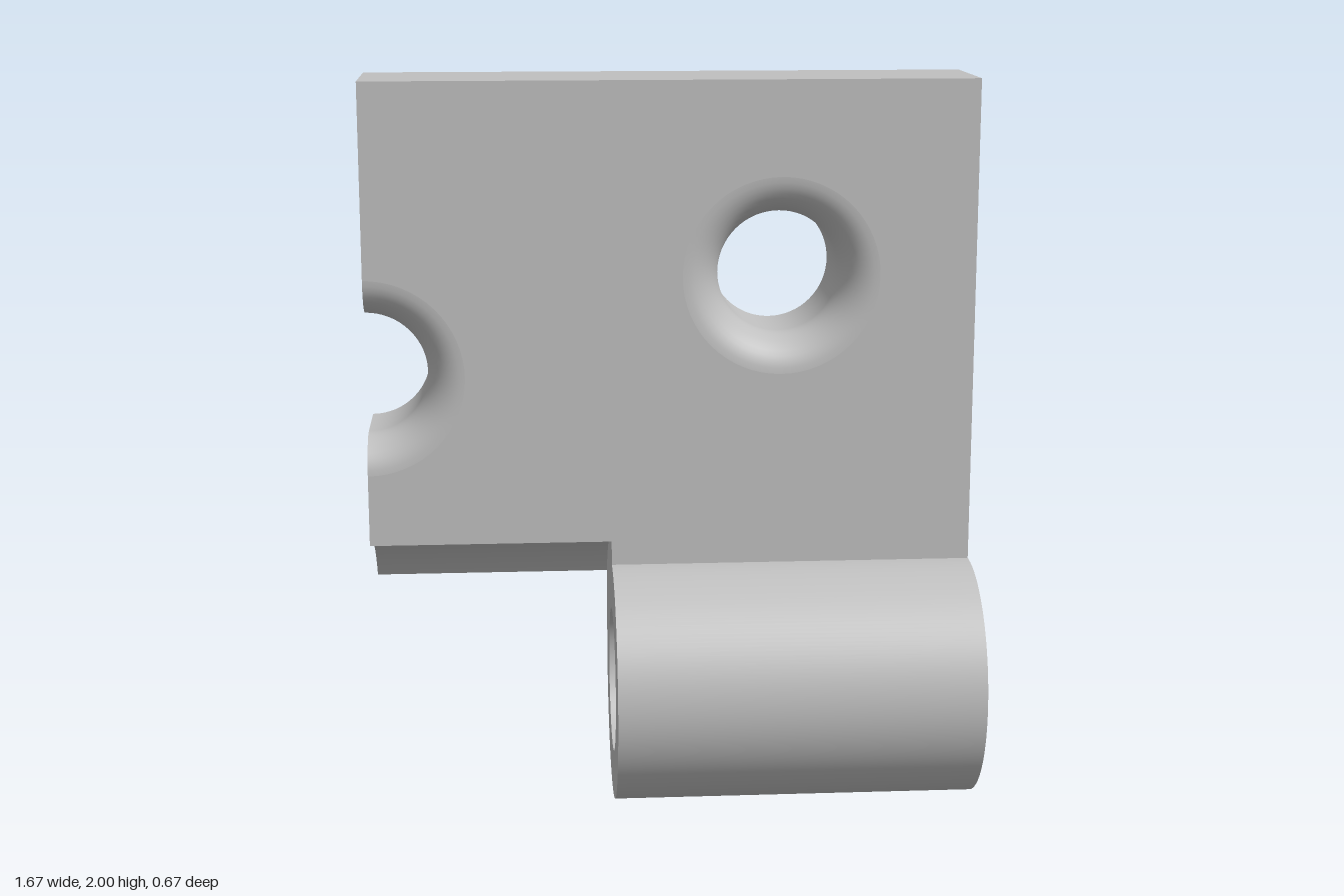
import * as THREE from 'three';

const H = 0.833, T = 0.333, C = -0.167;        // half width, plate thickness, knuckle start
const TOP = 2, AXIS = 0.333, BORE = 0.2, CLEAR = 0.4;
const HOLE = 0.167, FLARE = 0.27, DEPTH = 0.11; // screw hole, flared mouth and its depth
const NOTCH_Y = 1.2, HOLE_X = 0.3, HOLE_Y = 1.47;
const CLEAR_A = Math.acos(-T / CLEAR);
const CLEAR_BACK = AXIS + CLEAR * Math.sin(CLEAR_A);
const PI = Math.PI;

// Reverse the facing of a flat geometry
function flip(geo) {
  geo.index.array.reverse();
  geo.computeVertexNormals();
  return geo;
}

// Surface swept along x from a (z, y) outline
function sweepX(points, x0, x1) {
  const pos = [], idx = [];
  points.forEach((p, i) => {
    pos.push(x0, p.y, p.x, x1, p.y, p.x);
    if (i) {
      const a = 2 * i - 2;
      idx.push(a, a + 1, a + 2, a + 1, a + 3, a + 2);
    }
  });
  const geo = new THREE.BufferGeometry();
  geo.setAttribute('position', new THREE.Float32BufferAttribute(pos, 3));
  geo.setIndex(idx);
  geo.computeVertexNormals();
  return geo;
}

// Points of an arc around the pin axis, in (z, y)
const arc = (r, a0, a1, clockwise) =>
  new THREE.Path().absarc(0, AXIS, r, a0, a1, clockwise).getPoints(64);

// Flat end face lying across x
function sideFace(shape, x, facesLeft) {
  const geo = new THREE.ShapeGeometry(shape, 32).rotateY(-PI / 2).translate(x, 0, 0);
  return facesLeft ? flip(geo) : geo;
}

// Broad plate face with a round hole and an edge notch
function broadFace(r, outerY, knuckleY) {
  const s = new THREE.Shape();
  s.moveTo(-H, outerY);
  s.lineTo(C, outerY);
  s.lineTo(C, knuckleY);
  s.lineTo(H, knuckleY);
  s.lineTo(H, TOP);
  s.lineTo(-H, TOP);
  s.lineTo(-H, NOTCH_Y + r);
  s.absarc(-H, NOTCH_Y, r, PI / 2, -PI / 2, true);
  s.holes.push(new THREE.Path().absarc(HOLE_X, HOLE_Y, r, 0, 2 * PI));
  return new THREE.ShapeGeometry(s, 32);
}

export function createModel() {
  const group = new THREE.Group();
  const grey = new THREE.MeshStandardMaterial({ color: 0xbfbfbf, side: THREE.DoubleSide });
  grey.name = 'grey';
  const add = (name, geo) => {
    const mesh = new THREE.Mesh(geo, grey);
    mesh.name = name;
    group.add(mesh);
  };
  const v = (x, y) => new THREE.Vector2(x, y);

  // Plate faces
  add('plateFront', broadFace(FLARE, AXIS + CLEAR, AXIS + T));
  add('plateBack', flip(broadFace(HOLE, CLEAR_BACK, AXIS)).translate(0, 0, -T));
  add('plateTop', sweepX([v(0, TOP), v(-T, TOP)], -H, H));

  // Screw hole walls, rounded at the front mouth: (radius, z)
  const profile = [];
  for (let i = 0; i <= 10; i++) {
    const a = (i / 10) * PI / 2;
    profile.push(v(FLARE - (FLARE - HOLE) * Math.sin(a), DEPTH * (Math.cos(a) - 1)));
  }
  profile.push(v(HOLE, -T));
  const holeWall = (segments, length, x, y) =>
    new THREE.LatheGeometry(profile, segments, 0, length).rotateX(PI / 2).translate(x, y, 0);
  add('screwHole', holeWall(64, 2 * PI, HOLE_X, HOLE_Y));
  add('edgeNotch', holeWall(32, PI, -H, NOTCH_Y));

  // Plate edge above and below the notch
  const mouth = (sign) => profile.map((p) => v(p.y, NOTCH_Y + sign * p.x));
  add('upperEdge', sideFace(new THREE.Shape([v(-T, TOP), v(0, TOP), ...mouth(1)]), -H));
  const clearance = arc(CLEAR, CLEAR_A, PI / 2, true);
  add('lowerEdge', sideFace(new THREE.Shape([...clearance, ...mouth(-1)]), -H));

  // Hollowed underside that clears the mating knuckle
  add('clearanceCurve', sweepX(clearance, -H, C));

  // Knuckle barrel and bore
  const barrel = arc(T, PI, 2.5 * PI, false);
  add('knuckleBarrel', sweepX(barrel, C, H));
  add('knuckleBore', sweepX(arc(BORE, 2 * PI, 0, true), C, H));

  // Knuckle ends: one flush with the plate edge, one inside the step
  const bore = () => new THREE.Path().absarc(0, AXIS, BORE, 0, 2 * PI);
  const outerEnd = new THREE.Shape([v(0, TOP), v(-T, TOP), ...barrel]);
  outerEnd.holes.push(bore());
  add('outerEnd', sideFace(outerEnd, H, true));
  const innerEnd = new THREE.Shape([...barrel, ...clearance.slice().reverse()]);
  innerEnd.holes.push(bore());
  add('innerEnd', sideFace(innerEnd, C));

  return group;
}
